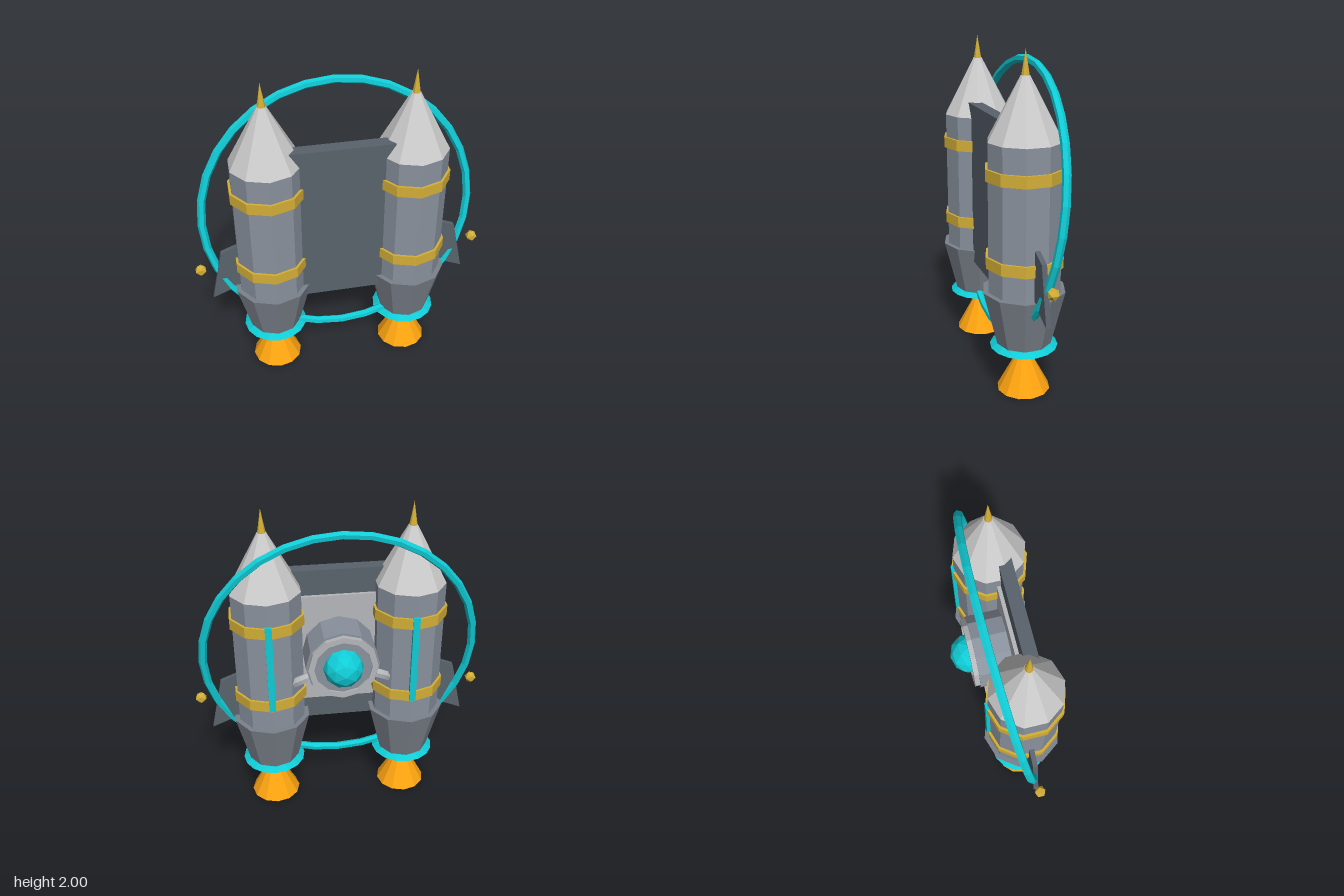
import * as THREE from 'three';

const mat = (color) => new THREE.MeshStandardMaterial({ color, flatShading: true });
const MATS = {
  tank: mat(0x8a929e),
  skirt: mat(0x7c828c),
  nose: mat(0xdddddd),
  plate: mat(0x59626c),
  panel: mat(0xb4b6ba),
  gold: mat(0xd4af37),
  cyan: mat(0x10ccd6),
  flame: mat(0xffa510),
};

function add(parent, name, geometry, material, x = 0, y = 0, z = 0) {
  const mesh = new THREE.Mesh(geometry, material);
  mesh.name = name;
  mesh.position.set(x, y, z);
  parent.add(mesh);
  return mesh;
}

// Upright frustum given by its bottom and top heights and radii
function frustum(parent, name, y0, y1, r0, r1, sides, material) {
  const geometry = new THREE.CylinderGeometry(r1, r0, y1 - y0, sides);
  return add(parent, name, geometry, material, 0, (y0 + y1) / 2, 0);
}

// One rocket tank, standing around its own axis
function createTank(side) {
  const tank = new THREE.Group();
  tank.name = side > 0 ? 'leftTank' : 'rightTank';
  tank.position.set(0.43 * side, 0, 0.05);
  frustum(tank, 'body', 0.6, 1.51, 0.215, 0.215, 10, MATS.tank);
  frustum(tank, 'noseCone', 1.51, 1.86, 0.215, 0.027, 10, MATS.nose);
  frustum(tank, 'noseSpike', 1.86, 2, 0.024, 0, 8, MATS.gold);
  for (const y of [0.79, 1.298]) {
    frustum(tank, 'band', y, y + 0.068, 0.23, 0.23, 10, MATS.gold);
  }
  frustum(tank, 'nozzleSkirt', 0.305, 0.64, 0.163, 0.245, 10, MATS.skirt);
  frustum(tank, 'nozzleRing', 0.285, 0.31, 0.2, 0.165, 16, MATS.cyan);
  frustum(tank, 'flame', 0, 0.3, 0.158, 0, 12, MATS.flame);
  add(tank, 'lightStrip', new THREE.BoxGeometry(0.04, 0.58, 0.03), MATS.cyan, 0, 1.085, -0.215);
  return tank;
}

// Side fin with a small loose stud beyond its tip
function addFin(parent, side) {
  const outline = [[0.55, 0.975], [0.735, 0.9], [0.81, 0.56], [0.55, 0.67]];
  const shape = new THREE.Shape(outline.map(([x, y]) => new THREE.Vector2(x * side, y)));
  const geometry = new THREE.ExtrudeGeometry(shape, { depth: 0.03, bevelEnabled: false });
  add(parent, 'fin', geometry, MATS.plate, 0, 0, 0.035);
  add(parent, 'stud', new THREE.IcosahedronGeometry(0.037, 0), MATS.gold, 0.865 * side, 0.783, 0.05);
}

// Bent pipe from the core into a tank
function addPipe(parent, side) {
  const points = [[0.12, 1.0, -0.08], [0.21, 0.98, -0.11], [0.27, 0.95, -0.1], [0.33, 0.89, -0.05]];
  const curve = new THREE.CatmullRomCurve3(
    points.map(([x, y, z]) => new THREE.Vector3(x * side, y, z)));
  add(parent, 'pipe', new THREE.TubeGeometry(curve, 10, 0.03, 6), MATS.panel);
}

// Round core on the back, with a raised rim and a glowing dome
function createCore() {
  const core = new THREE.Group();
  core.name = 'core';
  core.position.set(0, 1.077, 0);
  const drum = new THREE.CylinderGeometry(0.223, 0.223, 0.22, 12).rotateX(Math.PI / 2);
  add(core, 'drum', drum, MATS.tank, 0, 0, -0.05);
  const face = new THREE.CylinderGeometry(0.18, 0.18, 0.04, 12).rotateX(Math.PI / 2);
  add(core, 'coreFace', face, MATS.tank, 0, 0, -0.157);
  const profile = [[0.175, 0.15], [0.21, 0.15], [0.21, 0.19], [0.175, 0.19], [0.175, 0.15]];
  const rim = new THREE.LatheGeometry(profile.map(([r, h]) => new THREE.Vector2(r, h)), 12);
  rim.rotateX(-Math.PI / 2);
  add(core, 'coreRim', rim, MATS.panel);
  add(core, 'dome', new THREE.IcosahedronGeometry(0.123, 1), MATS.cyan, 0, 0, -0.175);
  return core;
}

export function createModel() {
  const model = new THREE.Group();
  model.name = 'rocketPack';

  // Plates joining the tanks
  add(model, 'mainPlate', new THREE.BoxGeometry(0.64, 1.04, 0.08), MATS.plate, 0, 1.08, 0.11);
  add(model, 'innerPanel', new THREE.BoxGeometry(0.5, 0.72, 0.03), MATS.panel, 0, 1.08, 0.062);
  model.add(createCore());

  for (const side of [1, -1]) {
    model.add(createTank(side));
    addFin(model, side);
    addPipe(model, side);
  }

  // Large hoop, leaning backward at the top
  const hoop = add(model, 'hoop', new THREE.TorusGeometry(0.825, 0.025, 6, 32), MATS.cyan, 0, 1.077, -0.01);
  hoop.rotation.x = -0.142;

  return model;
}
